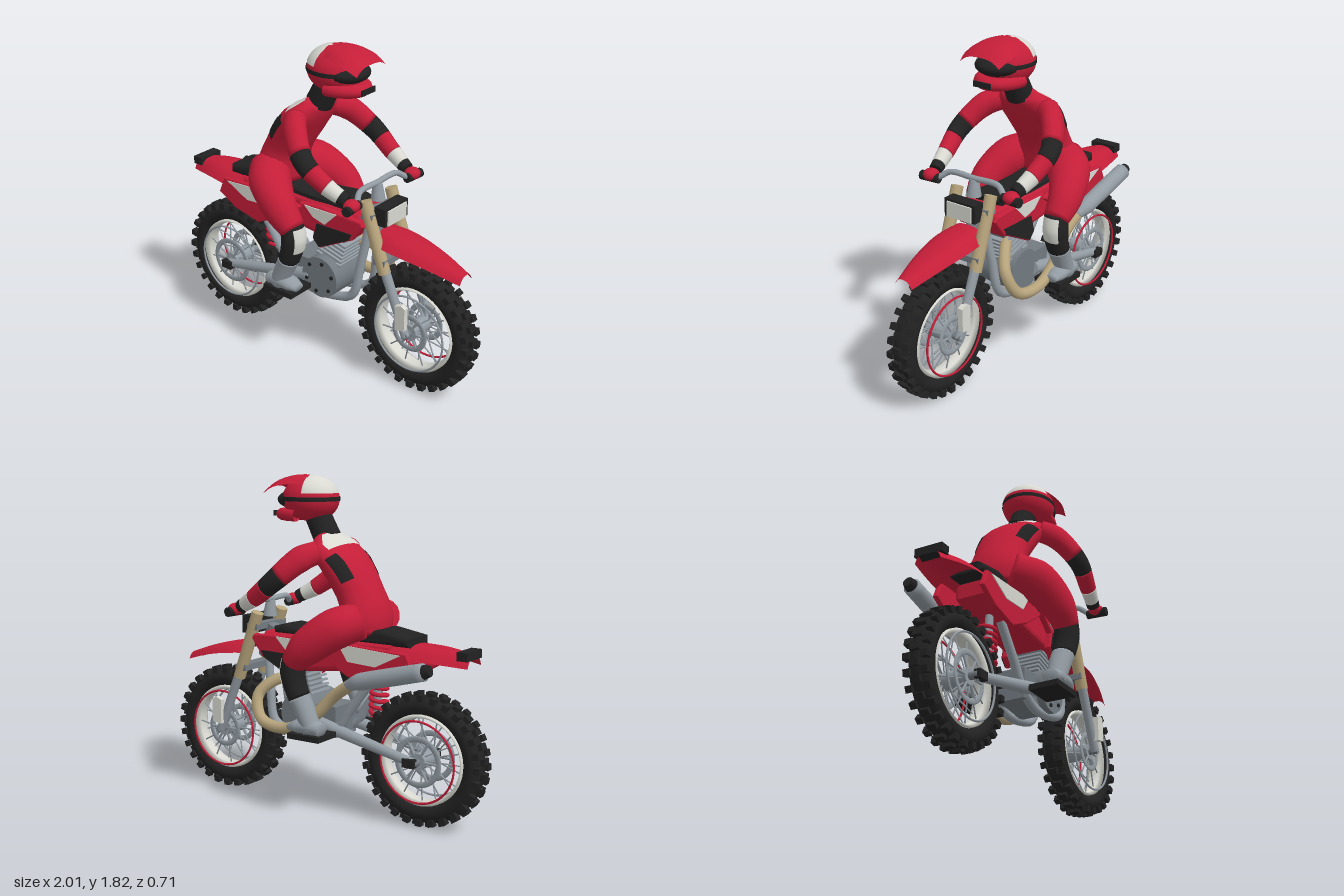
import * as THREE from 'three';

const paint = (name, color, side = THREE.FrontSide) => {
  const m = new THREE.MeshStandardMaterial({ color, side });
  m.name = name;
  return m;
};
const V = (p) => new THREE.Vector3(p[0], p[1], p[2]);

export function createModel() {
  const root = new THREE.Group();
  root.name = 'dirtBikeAndRider';
  const red = paint('red', 0xc41e38, THREE.DoubleSide), black = paint('black', 0x222222, THREE.DoubleSide);
  const white = paint('white', 0xd9d9d2, THREE.DoubleSide), grey = paint('metalGrey', 0x939ca3);
  const dark = paint('engineGrey', 0x737b81), tan = paint('tan', 0xb7a47c);

  const add = (name, geo, mat, pos = [0, 0, 0], parent = root) => {
    const m = new THREE.Mesh(geo, mat);
    m.name = name;
    m.position.set(...pos);
    parent.add(m);
    return m;
  };
  const box = (name, w, h, d, mat, pos, parent) => add(name, new THREE.BoxGeometry(w, h, d), mat, pos, parent);
  // straight round bar between two points
  const rod = (name, a, b, r1, r2, mat, parent, n = 14) => {
    const A = V(a), d = V(b).sub(A);
    const m = add(name, new THREE.CylinderGeometry(r2, r1, d.length(), n), mat, A.clone().addScaledVector(d, 0.5).toArray(), parent);
    m.quaternion.setFromUnitVectors(new THREE.Vector3(0, 1, 0), d.normalize());
    return m;
  };
  const tube = (name, pts, r, mat, seg = 40) =>
    add(name, new THREE.TubeGeometry(new THREE.CatmullRomCurve3(pts.map(V)), seg, r, 10), mat);
  // flat side profile extruded across z
  const plate = (name, pts, depth, z, mat, bevel = 0) => {
    const s = new THREE.Shape(pts.map((p) => new THREE.Vector2(p[0], p[1])));
    const geo = new THREE.ExtrudeGeometry(s, { depth: depth - 2 * bevel, bevelEnabled: bevel > 0, bevelSize: bevel,
      bevelOffset: -bevel, bevelThickness: bevel, bevelSegments: 3 });
    return add(name, geo, mat, [0, 0, z - depth / 2 + bevel]);
  };
  const grid = (rows, cols, wrap, at) => {
    const pos = [], idx = [], w = wrap ? cols : cols + 1;
    for (let i = 0; i <= rows; i++) for (let j = 0; j < w; j++) pos.push(...at(i, j));
    for (let i = 0; i < rows; i++) for (let j = 0; j < cols; j++) {
      const a = i * w + j, b = i * w + ((j + 1) % w), c = a + w, d = b + w;
      idx.push(a, b, c, b, d, c);
    }
    const g = new THREE.BufferGeometry();
    g.setAttribute('position', new THREE.Float32BufferAttribute(pos, 3));
    g.setIndex(idx);
    g.computeVertexNormals();
    return g;
  };
  // elliptical loft along stations [x, y, z, depthRadius, sideRadius]; angle 0 is the back or upper side
  const sweep = (name, pts, mat, t0 = 0, t1 = 1, a0 = 0, a1 = 2 * Math.PI, k = 1) => {
    const curve = new THREE.CatmullRomCurve3(pts.map(V)), full = a1 - a0 > 6.28, rows = 16, cols = 18;
    const geo = grid(full ? rows + 2 : rows, cols, full, (i, j) => {
      const ring = full ? Math.min(Math.max(i - 1, 0), rows) : i;
      const t = t0 + ((t1 - t0) * ring) / rows, f = t * (pts.length - 1);
      const s = Math.min(Math.floor(f), pts.length - 2), u = f - s;
      const cap = full && (i === 0 || i === rows + 2) ? 0 : k;
      const r = [3, 4].map((c) => (pts[s][c] * (1 - u) + pts[s + 1][c] * u) * cap);
      const tan3 = curve.getTangent(t), n = new THREE.Vector3(0, 0, 1).cross(tan3).normalize();
      const b = tan3.clone().cross(n), a = a0 + ((a1 - a0) * j) / cols;
      return curve.getPoint(t).addScaledVector(n, Math.cos(a) * r[0]).addScaledVector(b, Math.sin(a) * r[1]).toArray();
    });
    return add(name, geo, mat);
  };
  // arched sheet through stations [x, y, halfWidth, drop]
  const arch = (name, st, mat) => {
    const curve = new THREE.CatmullRomCurve3(st.map((s) => V([s[0], s[1], s[2]])));
    return add(name, grid(16, 12, false, (i, j) => {
      const p = curve.getPoint(i / 16), f = (i / 16) * (st.length - 1), s = Math.min(Math.floor(f), st.length - 2);
      const drop = st[s][3] + (st[s + 1][3] - st[s][3]) * (f - s), v = j / 6 - 1;
      return [p.x, p.y - drop * Math.abs(v) ** 3, p.z * v];
    }), mat);
  };

  // wheels
  for (const [name, x] of [['rearWheel', -0.645], ['frontWheel', 0.645]]) {
    const w = new THREE.Group();
    w.name = name;
    w.position.set(x, 0.357, 0);
    root.add(w);
    add('tyre', new THREE.TorusGeometry(0.288, 0.054, 14, 64), black, [0, 0, 0], w).scale.z = 1.2;
    for (let i = 0; i < 28; i++) for (const side of [-1, 0, 1]) {
      const a = ((i + (side ? 0 : 0.5)) / 28) * 2 * Math.PI, r = side ? 0.332 : 0.342;
      const knob = box('knob', 0.034, 0.036, side ? 0.036 : 0.05, black, [r * Math.sin(a), r * Math.cos(a), side * 0.05], w);
      knob.rotation.z = -a;
    }
    const rim = [[0.222, -0.03], [0.242, -0.055], [0.246, 0], [0.242, 0.055], [0.222, 0.03], [0.216, 0], [0.222, -0.03]];
    add('rim', new THREE.LatheGeometry(rim.map((p) => new THREE.Vector2(...p)), 56), white, [0, 0, 0], w).rotation.x = Math.PI / 2;
    add('leftRimRing', new THREE.TorusGeometry(0.218, 0.006, 6, 56), grey, [0, 0, 0.088], w);
    add('rightRimRing', new THREE.TorusGeometry(0.218, 0.006, 6, 56), red, [0, 0, -0.088], w);
    rod('hub', [0, 0, -0.08], [0, 0, 0.08], 0.045, 0.045, grey, w, 20);
    for (let i = 0; i < 24; i++) {
      const a = (i / 24) * 2 * Math.PI, b = a + (i % 2 ? 0.25 : -0.25), s = i % 2 ? 1 : -1;
      rod('spoke', [0.04 * Math.cos(b), 0.04 * Math.sin(b), s * 0.06], [0.225 * Math.cos(a), 0.225 * Math.sin(a), s * 0.02], 0.004, 0.004, grey, w, 6);
    }
    const R = x < 0 ? 0.122 : 0.095;
    for (const z of [-0.075, 0.075]) {
      add('brakeDisc', new THREE.TorusGeometry(R, 0.016, 6, 40), grey, [0, 0, z], w).scale.z = 0.35;
      for (let i = 0; i < 6; i++) {
        const a = (i * Math.PI) / 3;
        rod('discArm', [0, 0, z], [R * Math.cos(a), R * Math.sin(a), z], 0.007, 0.007, grey, w, 6);
      }
    }
    rod('axle', [0, 0, -0.13], [0, 0, 0.13], 0.02, 0.02, dark, w);
  }

  // forks, swingarm, frame and foot pegs on both sides
  for (const s of [-1, 1]) {
    rod('forkUpper', [0.5, 0.68, s * 0.112], [0.365, 1.06, s * 0.112], 0.034, 0.034, tan);
    rod('forkLower', [0.645, 0.35, s * 0.112], [0.5, 0.7, s * 0.112], 0.024, 0.027, grey);
    plate('forkGuard', [[0.605, 0.4], [0.665, 0.41], [0.665, 0.54], [0.64, 0.555], [0.6, 0.54]], 0.03, s * 0.143, white);
    rod('swingarm', [-0.64, 0.357, s * 0.11], [0.0, 0.5, s * 0.11], 0.025, 0.037, grey);
    box('axleBlock', 0.07, 0.045, 0.035, black, [-0.625, 0.36, s * 0.13]);
    tube('frameTube', [[0.35, 0.92, s * 0.04], [0.31, 0.65, s * 0.07], [0.27, 0.46, s * 0.085], [0.15, 0.41, s * 0.085],
      [-0.02, 0.4, s * 0.085], [-0.16, 0.47, s * 0.09], [-0.23, 0.57, s * 0.09], [-0.37, 0.76, s * 0.085]], 0.025, grey);
    box('footPeg', 0.2, 0.03, 0.17, black, [-0.08, 0.45, s * 0.225]);
  }
  for (const y of [0.74, 0.98]) box('forkClamp', 0.07, 0.035, 0.27, dark, [y > 0.9 ? 0.39 : 0.475, y, 0]);
  rod('steeringHead', [0.33, 0.98, 0], [0.4, 0.8, 0], 0.04, 0.04, dark);

  // engine
  rod('crankcase', [0.08, 0.52, -0.12], [0.08, 0.52, 0.14], 0.12, 0.12, dark, root, 32);
  box('gearbox', 0.2, 0.17, 0.2, dark, [-0.05, 0.5, 0]);
  for (let i = 0; i < 6; i++) {
    const a = (i * Math.PI) / 3 + 0.3;
    rod('coverBolt', [0.08 + 0.09 * Math.cos(a), 0.52 + 0.09 * Math.sin(a), 0.13], [0.08 + 0.09 * Math.cos(a), 0.52 + 0.09 * Math.sin(a), 0.147], 0.011, 0.011, black, root, 8);
  }
  for (let i = 0; i < 6; i++) box('coolingFin', 0.17, 0.013, 0.18, grey, [0.1 + i * 0.007, 0.62 + i * 0.025, 0]).rotation.z = -0.25;
  box('cylinderBarrel', 0.12, 0.2, 0.13, dark, [0.115, 0.68, 0]).rotation.z = -0.25;

  // rear shock with coil
  rod('shock', [-0.36, 0.5, 0], [-0.34, 0.82, 0], 0.022, 0.022, grey);
  const coil = Array.from({ length: 61 }, (_, i) => [-0.36 + 0.045 * Math.cos(i * 0.63), 0.54 + i * 0.0036, 0.045 * Math.sin(i * 0.63)]);
  tube('spring', coil, 0.011, red, 180);

  // exhaust
  tube('exhaustPipe', [[0.14, 0.72, -0.04], [0.25, 0.69, -0.11], [0.32, 0.61, -0.17], [0.27, 0.49, -0.21], [0.1, 0.46, -0.22],
    [-0.07, 0.54, -0.21], [-0.2, 0.67, -0.19], [-0.33, 0.76, -0.2]], 0.032, tan, 60);
  sweep('silencer', [[-0.29, 0.74, -0.2, 0.025, 0.025], [-0.37, 0.77, -0.21, 0.046, 0.046], [-0.55, 0.815, -0.21, 0.048, 0.048],
    [-0.75, 0.865, -0.21, 0.046, 0.046]], grey);
  rod('silencerTip', [-0.74, 0.862, -0.21], [-0.785, 0.875, -0.21], 0.04, 0.028, black);

  // bodywork
  plate('tankBody', [[-0.5, 0.87], [-0.3, 0.8], [0.05, 0.76], [0.25, 0.78], [0.35, 0.92], [0.32, 0.96], [-0.5, 0.96]], 0.24, 0, red, 0.03);
  plate('seat', [[-0.6, 0.95], [-0.6, 1.0], [-0.42, 1.03], [-0.2, 1.0], [0.0, 0.98], [0.2, 1.005], [0.27, 0.99], [0.26, 0.95]], 0.21, 0, black, 0.025);
  arch('rearFender', [[-0.92, 0.935, 0.075, 0.06], [-0.75, 0.96, 0.125, 0.07], [-0.58, 0.965, 0.15, 0.08], [-0.3, 0.96, 0.14, 0.08]], red);
  arch('frontFender', [[0.42, 0.885, 0.12, 0.06], [0.55, 0.875, 0.13, 0.06], [0.75, 0.83, 0.1, 0.05], [0.925, 0.77, 0.055, 0.04]], red);
  box('tailLight', 0.06, 0.045, 0.16, black, [-0.89, 0.935, 0]);
  box('headlight', 0.07, 0.1, 0.2, black, [0.45, 0.985, 0]);
  box('headlightFace', 0.008, 0.085, 0.16, white, [0.489, 0.98, 0]);
  for (const s of [-1, 1]) {
    plate('rearSidePanel', [[-0.65, 0.835], [-0.61, 0.93], [-0.18, 0.95], [-0.05, 0.91], [-0.2, 0.8], [-0.355, 0.725], [-0.53, 0.765]], 0.03, s * 0.137, red, 0.008);
    plate('rearPanelStripe', [[-0.58, 0.92], [-0.2, 0.943], [-0.26, 0.855], [-0.43, 0.845]], 0.006, s * 0.154, white);
    plate('frontShroud', [[-0.05, 0.94], [0.1, 0.955], [0.365, 0.945], [0.38, 0.92], [0.31, 0.825], [0.09, 0.71], [0.04, 0.76], [0.06, 0.85]], 0.04, s * 0.132, red, 0.01);
    plate('shroudBlackPatch', [[0.075, 0.855], [0.31, 0.86], [0.29, 0.822], [0.09, 0.718], [0.05, 0.76]], 0.006, s * 0.154, black);
    plate('shroudWhitePatch', [[-0.01, 0.94], [0.21, 0.945], [0.13, 0.865], [0.05, 0.885]], 0.006, s * 0.154, white);
  }

  // handlebar
  tube('handlebar', [[0.4, 1.085, -0.3], [0.39, 1.09, -0.22], [0.365, 1.125, -0.16], [0.36, 1.125, 0], [0.365, 1.125, 0.16],
    [0.39, 1.09, 0.22], [0.4, 1.085, 0.3]], 0.016, grey, 50);
  rod('barRiser', [0.365, 1.03, 0], [0.36, 1.12, 0], 0.04, 0.025, grey);

  // rider torso and neck
  const torso = [[-0.28, 1.0, 0, 0.12, 0.16], [-0.28, 1.08, 0, 0.125, 0.18], [-0.24, 1.2, 0, 0.11, 0.155], [-0.16, 1.33, 0, 0.11, 0.175],
    [-0.07, 1.43, 0, 0.075, 0.2], [-0.02, 1.495, 0, 0.05, 0.1]];
  sweep('torso', torso, red);
  sweep('upperBackPatch', torso, white, 0.73, 0.97, -0.9, 0.9, 1.025);
  for (const s of [-1, 1]) {
    sweep('flankPatch', torso, black, 0.48, 0.68, s * 1.1 - 0.3, s * 1.1 + 0.3, 1.025);
    sweep('frontHipPatch', torso, white, 0.06, 0.2, Math.PI + s * 0.7 - 0.15, Math.PI + s * 0.7 + 0.15, 1.02);
  }
  rod('neck', [-0.03, 1.48, 0], [0.05, 1.63, 0], 0.075, 0.07, black, root, 20);

  // arms and legs
  for (const s of [-1, 1]) {
    const arm = [[-0.07, 1.42, s * 0.15, 0.06, 0.06], [-0.01, 1.385, s * 0.225, 0.07, 0.06], [0.11, 1.27, s * 0.3, 0.058, 0.052],
      [0.24, 1.175, s * 0.29, 0.05, 0.045], [0.36, 1.11, s * 0.265, 0.036, 0.036]];
    sweep('upperArm', arm, red, 0, 0.44);
    sweep('elbowPad', arm, black, 0.44, 0.6);
    sweep('forearm', arm, red, 0.6, 0.78);
    sweep('cuff', arm, white, 0.78, 0.93);
    sweep('wrist', arm, black, 0.93, 1);
    const hand = add('glove', new THREE.SphereGeometry(0.045, 14, 10), red, [0.395, 1.095, s * 0.265]);
    hand.scale.set(1, 0.75, 1);
    rod('grip', [0.395, 1.083, s * 0.21], [0.405, 1.083, s * 0.325], 0.026, 0.026, black);
    const thigh = [[-0.3, 1.07, s * 0.1, 0.1, 0.11], [-0.21, 1.03, s * 0.2, 0.11, 0.12], [-0.08, 0.93, s * 0.265, 0.1, 0.09], [0.01, 0.84, s * 0.27, 0.066, 0.07]];
    sweep('thigh', thigh, red);
    const shin = [[0.0, 0.87, s * 0.27, 0.06, 0.068], [0.01, 0.79, s * 0.27, 0.066, 0.07], [-0.01, 0.7, s * 0.265, 0.058, 0.068],
      [-0.06, 0.59, s * 0.26, 0.055, 0.06], [-0.11, 0.48, s * 0.26, 0.05, 0.052]];
    sweep('shin', shin, black, 0, 0.6);
    sweep('kneePad', shin, white, 0.05, 0.4, -0.75, 0.75, 1.05);
    sweep('boot', shin, grey, 0.6, 1);
    sweep('bootFoot', [[-0.17, 0.495, s * 0.26, 0.035, 0.045], [-0.1, 0.505, s * 0.26, 0.045, 0.055], [-0.02, 0.5, s * 0.26, 0.038, 0.055],
      [0.035, 0.49, s * 0.26, 0.02, 0.035]], grey);
  }

  // helmet
  const helmet = new THREE.Group();
  helmet.name = 'helmet';
  helmet.position.set(0.08, 1.69, 0);
  root.add(helmet);
  const shell = (name, mat, k, p0, pl, t0, tl) =>
    add(name, new THREE.SphereGeometry(k, 36, 24, p0, pl, t0, tl), mat, [0, 0, 0], helmet).scale.set(0.158, 0.126, 0.147);
  shell('shell', red, 1, 0, 2 * Math.PI, 0, 2.7);
  shell('crownPatch', white, 1.012, -1.35, 2.7, 0.12, 1.2);
  shell('strap', black, 1.02, 0, 2 * Math.PI, 1.48, 0.18);
  add('goggles', new THREE.SphereGeometry(1, 28, 18), black, [0.06, -0.005, 0], helmet).scale.set(0.135, 0.058, 0.128);
  const chin = add('chinBar', new THREE.TorusGeometry(0.108, 0.034, 12, 28, Math.PI), red, [0.02, -0.085, 0], helmet);
  chin.rotation.set(Math.PI / 2, 0, -Math.PI / 2);
  chin.scale.set(1, 1.33, 1);
  box('chinVent', 0.008, 0.03, 0.11, black, [0.209, -0.082, 0], helmet);
  arch('helmetPeak', [[0.06, 1.815, 0.1, 0.04], [0.15, 1.817, 0.13, 0.05], [0.24, 1.795, 0.14, 0.045], [0.31, 1.755, 0.125, 0.04]], red);
  return root;
}
